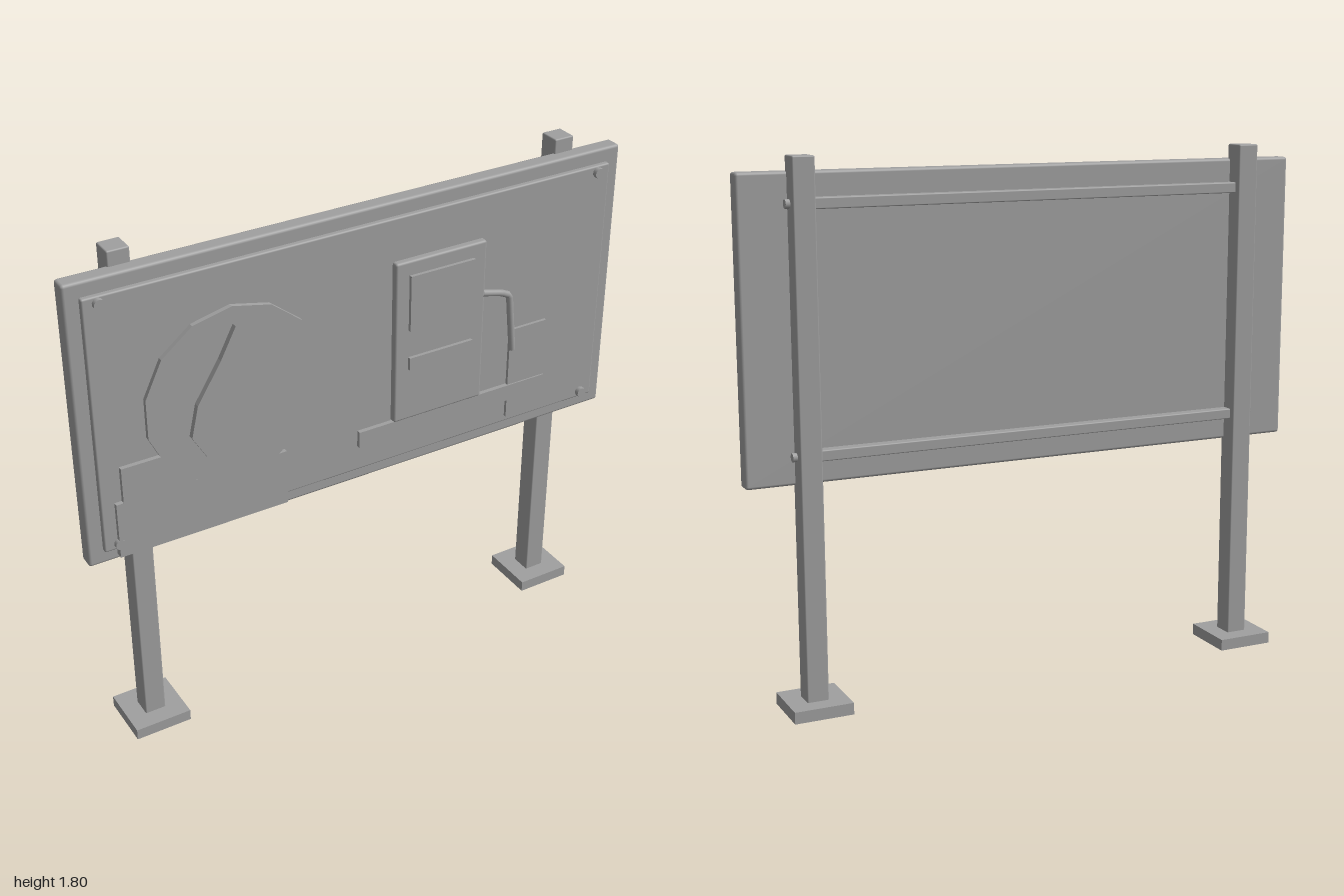
import * as THREE from 'three';
import { RoundedBoxGeometry } from 'three/addons/geometries/RoundedBoxGeometry.js';

export function createModel() {
  const model = new THREE.Group();
  model.name = 'fuelStationSign';
  const grey = new THREE.MeshStandardMaterial({ color: 0xa0a0a0 });
  grey.name = 'plain grey';

  const add = (name, geometry) => {
    const mesh = new THREE.Mesh(geometry, grey);
    mesh.name = name;
    model.add(mesh);
    return mesh;
  };
  // Box given by its limits, with an optional rounded edge
  const box = (name, x0, x1, y0, y1, z0, z1, r = 0) => {
    const s = [x1 - x0, y1 - y0, z1 - z0];
    const g = r ? new RoundedBoxGeometry(...s, 2, r) : new THREE.BoxGeometry(...s);
    add(name, g).position.set((x0 + x1) / 2, (y0 + y1) / 2, (z0 + z1) / 2);
  };
  // Flat-topped plate cut from an outline
  const plate = (name, points, z0, z1) => {
    const shape = new THREE.Shape(points.map(([x, y]) => new THREE.Vector2(x, y)));
    add(name, new THREE.ExtrudeGeometry(shape, { depth: z1 - z0, bevelEnabled: false }))
      .position.z = z0;
  };

  // Board and raised face panel
  box('board', -1, 1, 0.755, 1.75, 0.002, 0.06, 0.01);
  box('facePanel', -0.95, 0.95, 0.805, 1.7, 0.045, 0.077, 0.006);

  // Posts, feet, rail bolts and corner screws
  for (const side of [-1, 1]) {
    const x = side * 0.8;
    box('post', x - 0.037, x + 0.037, 0.03, 1.8, -0.058, 0.017, 0.005);
    box('footPlate', x - 0.1, x + 0.1, 0, 0.04, -0.12, 0.08);
    for (const y of [0.852, 1.652]) {
      const bolt = add('railBolt', new THREE.CylinderGeometry(0.015, 0.015, 0.03, 8));
      bolt.rotation.z = Math.PI / 2;
      bolt.position.set(side * 0.837, y, -0.018);
    }
    for (const y of [0.828, 1.678]) {
      const screw = add('cornerScrew', new THREE.CylinderGeometry(0.018, 0.018, 0.03, 10));
      screw.rotation.x = Math.PI / 2;
      screw.position.set(side * 0.9, y, 0.078);
    }
  }

  // Horizontal rails behind the board
  for (const y of [0.852, 1.652]) {
    box('backRail', -0.78, 0.78, y - 0.018, y + 0.018, -0.037, 0.004, 0.004);
  }

  // Round emblem with a droplet, standing on stepped blocks
  const disc = [];
  for (let i = 0; i < 14; i++) {
    const a = (i / 14) * Math.PI * 2;
    disc.push([-0.48 - Math.sin(a) * 0.31, 1.25 + Math.cos(a) * 0.31]);
  }
  plate('emblemDisc', disc, 0.07, 0.093);
  plate('droplet', [
    [-0.48, 1.5], [-0.535, 1.395], [-0.62, 1.26], [-0.645, 1.15], [-0.59, 1.055],
    [-0.48, 1.013], [-0.368, 1.055], [-0.308, 1.145], [-0.33, 1.26], [-0.42, 1.395],
  ], 0.085, 0.113);
  plate('steppedBlock', [
    [-0.905, 0.78], [-0.305, 0.78], [-0.305, 0.98], [-0.63, 0.98],
    [-0.63, 1.105], [-0.88, 1.105], [-0.88, 0.98], [-0.905, 0.98],
  ], 0.066, 0.0925);

  // Fuel pump
  box('pumpBody', 0.1, 0.448, 0.96, 1.55, 0.06, 0.1, 0.008);
  box('pumpScreen', 0.15, 0.397, 1.3, 1.5, 0.09, 0.112);
  box('pumpSlot', 0.15, 0.397, 1.155, 1.2, 0.09, 0.112);
  box('pumpBase', -0.03, 0.72, 0.9, 0.96, 0.07, 0.093);
  box('sideBlock', 0.57, 0.72, 0.83, 1.175, 0.07, 0.088);

  // Hose bending down from the pump
  const hose = new THREE.CurvePath();
  const pts = [[0.44, 1.357], [0.515, 1.338], [0.552, 1.32], [0.575, 1.105]]
    .map(([x, y]) => new THREE.Vector3(x, y, 0.095));
  for (let i = 0; i < 3; i++) hose.add(new THREE.LineCurve3(pts[i], pts[i + 1]));
  add('hose', new THREE.TubeGeometry(hose, 24, 0.012, 8));
  const tip = add('hoseTip', new THREE.CircleGeometry(0.012, 8));
  tip.rotation.x = Math.PI / 2;
  tip.position.copy(pts[3]);

  return model;
}
